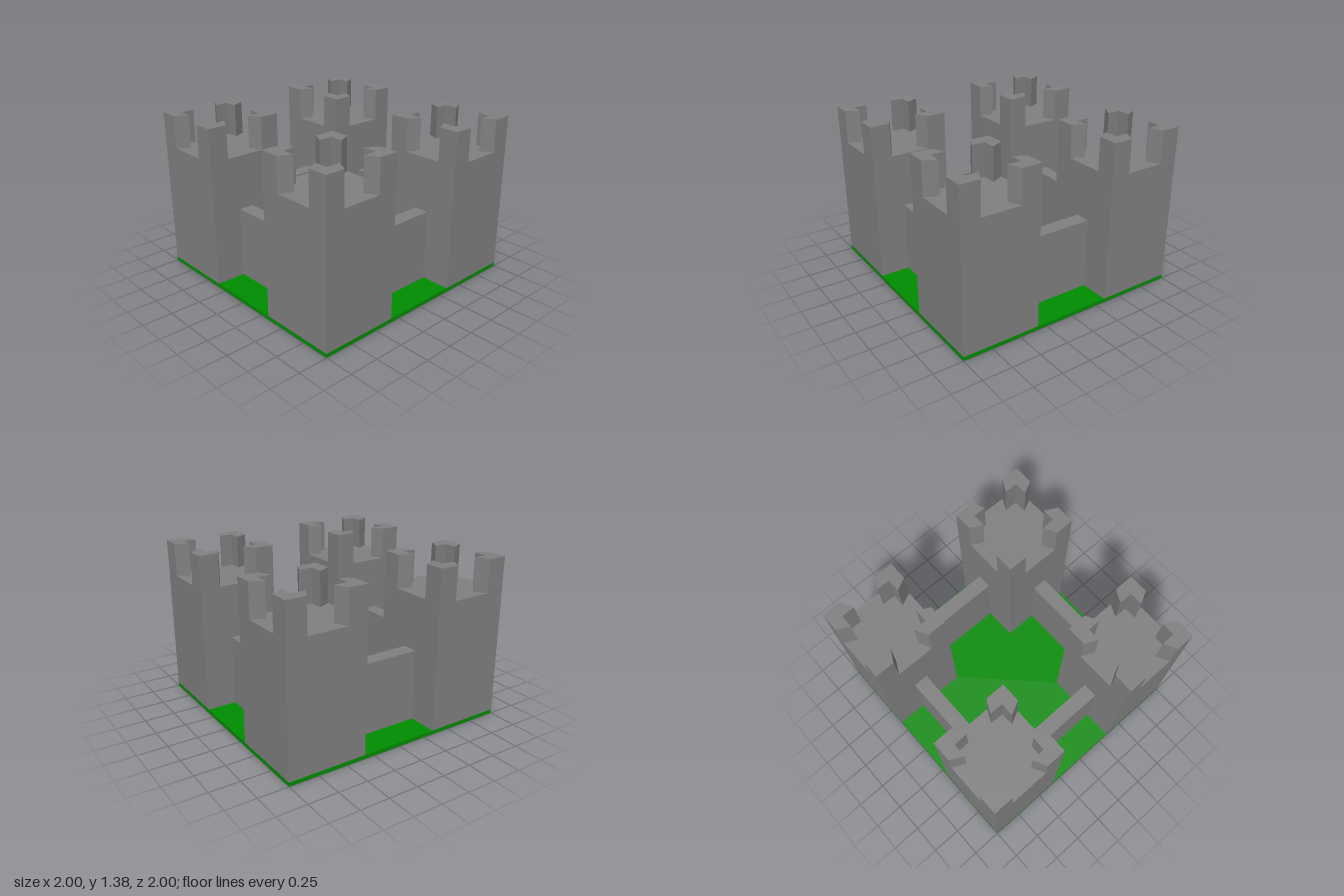
import * as THREE from 'three';

const BASE = 0.033, INNER = 0.335, ROOF = 1.097, TOP = 1.375;
const WALL_TOP = 0.64, WALL_IN = 0.623, WALL_OUT = 0.75;

const stone = new THREE.MeshStandardMaterial({ color: 0x808080, flatShading: true });
const grass = new THREE.MeshStandardMaterial({ color: 0x008c00, flatShading: true });

function box(name, material, w, h, d, x, y, z) {
  const mesh = new THREE.Mesh(new THREE.BoxGeometry(w, h, d), material);
  mesh.name = name;
  mesh.position.set(x, y + h / 2, z);
  return mesh;
}

// L-shaped corner battlement with slanted ends, measured inward from the tower corner
function merlonGeometry(half) {
  const inset = [[0, 0], [0.165, 0], [0.218, 0.105], [0.107, 0.107], [0.105, 0.218], [0, 0.165]];
  const shape = new THREE.Shape(inset.map(([a, b]) => new THREE.Vector2(half - a, half - b)));
  const geometry = new THREE.ExtrudeGeometry(shape, { depth: TOP - ROOF, bevelEnabled: false });
  return geometry.rotateX(-Math.PI / 2);
}

function createTower() {
  const tower = new THREE.Group();
  tower.name = 'tower';
  const size = 1 - INNER;
  tower.add(box('towerBody', stone, size, ROOF - BASE, size, 0, BASE, 0));
  const geometry = merlonGeometry(size / 2);
  for (let i = 0; i < 4; i++) {
    const merlon = new THREE.Mesh(geometry, stone);
    merlon.name = 'battlement';
    merlon.position.y = ROOF;
    merlon.rotation.y = i * Math.PI / 2;
    tower.add(merlon);
  }
  return tower;
}

export function createModel() {
  const castle = new THREE.Group();
  castle.name = 'castle';
  castle.add(box('grassBase', grass, 2, BASE, 2, 0, 0, 0));

  // One tower and one curtain wall per quarter turn
  for (let i = 0; i < 4; i++) {
    const side = new THREE.Group();
    side.name = 'castleSide';
    side.rotation.y = i * Math.PI / 2;
    const tower = createTower();
    const centre = (1 + INNER) / 2;
    tower.position.set(centre, 0, centre);
    side.add(tower);
    side.add(box('curtainWall', stone, INNER * 2, WALL_TOP - BASE, WALL_OUT - WALL_IN,
      0, BASE, (WALL_IN + WALL_OUT) / 2));
    castle.add(side);
  }
  return castle;
}
